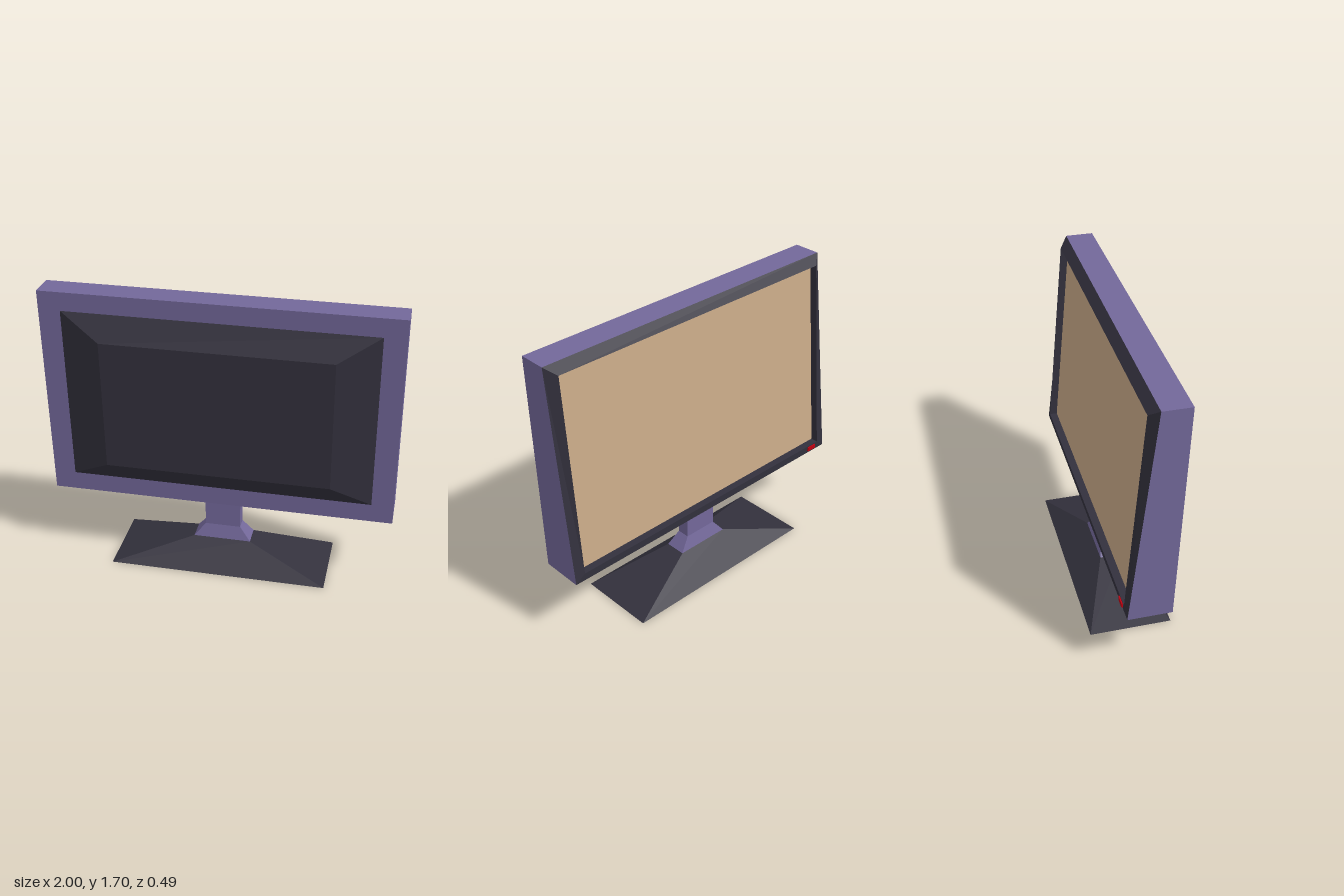
import * as THREE from 'three';

const mat = (color, extra = {}) => {
  const m = new THREE.MeshStandardMaterial({ flatShading: true, ...extra });
  m.color.set(color);
  return m;
};

// Upright rectangle, tilted: half width, bottom y/z, top y/z
const upright = (x, yb, zb, yt, zt) => [[-x, yb, zb], [x, yb, zb], [x, yt, zt], [-x, yt, zt]];

// Level rectangle: height, half width, back z, front z
const level = (y, x, z0, z1) => [[-x, y, z1], [x, y, z1], [x, y, z0], [-x, y, z0]];

// Skin a row of four-cornered rings, with optional end caps
function loft(name, material, rings, capStart = false, capEnd = false) {
  const pos = [];
  const quad = (a, b, c, d) => pos.push(...a, ...b, ...c, ...a, ...c, ...d);
  for (let r = 0; r < rings.length - 1; r++) {
    for (let i = 0; i < 4; i++) {
      const j = (i + 1) % 4;
      quad(rings[r][i], rings[r][j], rings[r + 1][j], rings[r + 1][i]);
    }
  }
  if (capStart) quad(...[...rings[0]].reverse());
  if (capEnd) quad(...rings[rings.length - 1]);
  const geo = new THREE.BufferGeometry();
  geo.setAttribute('position', new THREE.Float32BufferAttribute(pos, 3));
  geo.computeVertexNormals();
  const mesh = new THREE.Mesh(geo, material);
  mesh.name = name;
  return mesh;
}

export function createModel() {
  const group = new THREE.Group();
  group.name = 'monitor';

  const purple = mat(0x73689a);
  const dark = mat(0x33313d);
  const tan = mat(0xc9aa88);
  const red = mat(0xc00010);

  // Rings shared by the display parts
  const screenEdge = upright(0.94, 0.475, -0.09, 1.65, 0.01);
  const ridge = upright(0.94, 0.475, -0.135, 1.65, -0.035);
  const caseBack = upright(1, 0.427, -0.132, 1.7, 0.013);
  const caseFront = upright(1, 0.427, 0.115, 1.7, 0.173);
  const coverBase = upright(0.875, 0.54, 0.12, 1.59, 0.168);
  const coverTop = upright(0.645, 0.67, 0.21, 1.45, 0.245);

  // Display housing
  group.add(loft('screen', tan, [screenEdge], true));
  group.add(loft('bezel', dark, [screenEdge, ridge, caseBack]));
  group.add(loft('casing', purple, [caseBack, caseFront, coverBase]));
  group.add(loft('cover', dark, [coverBase, coverTop], false, true));

  // Power button on the lower bezel corner
  const button = new THREE.Mesh(new THREE.BoxGeometry(0.065, 0.026, 0.03), red);
  button.name = 'powerButton';
  button.position.set(-0.885, 0.455, -0.127);
  group.add(button);

  // Neck and foot
  const collar = level(0.145, 0.17, -0.07, 0.055);
  group.add(loft('neck', purple, [
    collar,
    level(0.225, 0.105, -0.047, 0.03),
    level(0.44, 0.105, -0.047, 0.03),
  ], false, true));
  group.add(loft('foot', dark, [level(0, 0.64, -0.245, 0.228), collar], true));

  return group;
}
